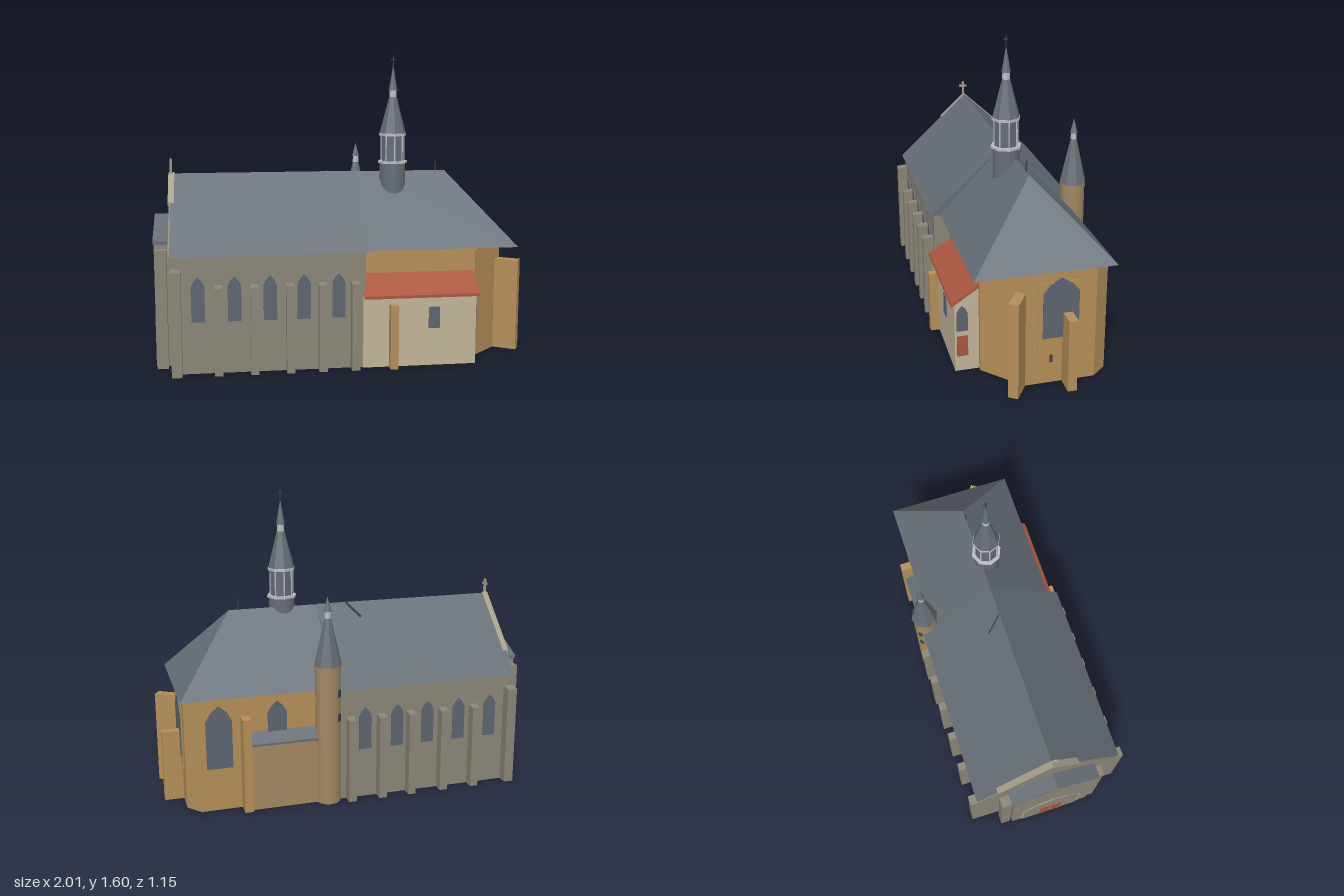
import * as THREE from 'three';
import { ConvexGeometry } from 'three/addons/geometries/ConvexGeometry.js';

const mat = (name, color, flat = true) => {
  const m = new THREE.MeshStandardMaterial({ color, flatShading: flat });
  m.name = name;
  return m;
};

export function createModel() {
  const slate = mat('slate', 0x656d75);
  const stone = mat('grey stone', 0x8a8576);
  const ochre = mat('ochre stone', 0xb58f59);
  const tan = mat('tan plaster', 0xa38762);
  const cream = mat('cream plaster', 0xc2b499);
  const red = mat('red tile', 0xa9563d);
  const glass = mat('window glass', 0x5d6570);
  const white = mat('pale metal', 0xbcc0c4);
  const coping = mat('coping stone', 0xa39d88);
  const iron = mat('dark iron', 0x3c4045);

  const model = new THREE.Group();
  model.name = 'church';
  // The church axis runs along local x, turned slightly in plan
  const church = new THREE.Group();
  church.name = 'churchBody';
  church.rotation.y = -0.2007;
  model.add(church);

  const add = (name, geo, material, x = 0, y = 0, z = 0, ry = 0) => {
    const m = new THREE.Mesh(geo, material);
    m.name = name;
    m.position.set(x, y, z);
    m.rotation.y = ry;
    church.add(m);
    return m;
  };
  const block = (name, material, x0, x1, y0, y1, z0, z1) =>
    add(name, new THREE.BoxGeometry(x1 - x0, y1 - y0, z1 - z0), material,
      (x0 + x1) / 2, (y0 + y1) / 2, (z0 + z1) / 2);
  const hull = (name, material, pts) =>
    add(name, new ConvexGeometry(pts.map(p => new THREE.Vector3(...p))), material);
  // Gabled or lean-to section [y, z] swept along x
  const sweep = (name, material, x0, x1, section) =>
    hull(name, material, [x0, x1].flatMap(x => section.map(([y, z]) => [x, y, z])));
  // Thin pointed panel on a wall; ry turns its face outward
  const panel = (name, material, w, y0, y1, tip, x, z, ry, depth = 0.006) => {
    const h = y1 - y0, s = new THREE.Shape();
    s.moveTo(-w / 2, 0);
    s.lineTo(w / 2, 0);
    s.lineTo(w / 2, h - tip);
    if (tip) {
      s.lineTo(w * 0.3, h - tip * 0.42);
      s.lineTo(0, h);
      s.lineTo(-w * 0.3, h - tip * 0.42);
    }
    s.lineTo(-w / 2, h - tip);
    add(name, new THREE.ExtrudeGeometry(s, { depth, bevelEnabled: false }), material, x, y0, z, ry);
  };
  // Tapered round part between two heights
  const round = (name, material, x, z, y0, y1, r0, r1, sides = 8) =>
    add(name, new THREE.CylinderGeometry(r1, r0, y1 - y0, sides), material, x, (y0 + y1) / 2, z);
  const cross = (name, material, x, z, y0, y1, arm, t) => {
    block(name + 'Post', material, x - t, x + t, y0, y1, z - t, z + t);
    const ya = y0 + (y1 - y0) * 0.7;
    block(name + 'Arm', material, x - t, x + t, ya - t, ya + t, z - arm, z + arm);
  };
  const N = Math.PI, E = Math.PI / 2, W = -Math.PI / 2;
  const C = 0.022, EAVE = 0.605, RIDGE = 0.98;

  // Nave
  block('naveWalls', stone, -0.88, 0.11, 0, EAVE, C - 0.385, C + 0.385);
  sweep('naveRoof', slate, -0.88, 0.125, [[EAVE, C - 0.404], [EAVE, C + 0.404], [RIDGE, C]]);
  sweep('westGable', stone, -0.887, -0.879, [[EAVE, C - 0.39], [EAVE, C + 0.39], [RIDGE - 0.01, C]]);
  for (const [side, reach] of [[-1, 0.29], [1, 0.15]]) {
    const top = RIDGE + 0.006, slope = 0.375 / 0.404;
    sweep('gableCoping', coping, -0.892, -0.86, [[top, C], [top - 0.02, C],
      [top - reach * slope, C + side * reach], [top - 0.02 - reach * slope, C + side * reach]]);
  }
  cross('gableCross', coping, -0.878, C + 0.005, 0.97, 1.06, 0.022, 0.006);
  for (const side of [-1, 1]) {
    [-0.852, -0.643, -0.462, -0.28, -0.115, 0.053].forEach((x, i) => {
      const a = C + side * 0.37, b = C + side * 0.44, t = i ? 0.021 : 0.026, h = i ? 0.46 : 0.545;
      sweep('naveButtress', stone, x - t, x + t, [[0, a], [h, a], [0, b], [h - 0.008, b]]);
    });
    for (const x of [-0.743, -0.56, -0.38, -0.208, -0.03])
      panel('naveWindow', glass, 0.068, 0.27, 0.5, 0.05, x, C + side * 0.385, side > 0 ? 0 : N);
  }
  hull('roofRod', iron, [[-0.1, 0.905, -0.06], [-0.095, 0.92, -0.06], [-0.105, 0.92, -0.06],
    [-0.037, 0.975, 0.018], [-0.032, 0.986, 0.018], [-0.042, 0.986, 0.018]]);

  // West porch
  block('porchWalls', stone, -0.963, -0.87, 0, 0.65, -0.2, 0.266);
  sweep('porchGable', stone, -0.963, -0.885, [[0.65, -0.2], [0.65, 0.266], [0.75, 0.033]]);
  for (const side of [-1, 1])
    sweep('porchRoof', slate, -0.968, -0.88, [[0.768, 0.033], [0.75, 0.033],
      [0.662, 0.033 + side * 0.245], [0.645, 0.033 + side * 0.245]]);
  for (const z of [-0.232, 0.288]) block('porchButtress', stone, -0.955, -0.9, 0, 0.62, z - 0.032, z + 0.022);
  panel('portalSurround', coping, 0.35, 0.005, 0.39, 0.14, -0.963, 0.033, W, 0.003);
  panel('portalPanel', stone, 0.325, 0.005, 0.375, 0.13, -0.963, 0.033, W, 0.006);
  for (const dz of [-0.035, 0.035]) panel('portalDoor', red, 0.056, 0.01, 0.2, 0, -0.963, 0.033 + dz, W, 0.009);

  // Choir with a chamfered east end
  const plan = [[0.1, -0.31], [0.836, -0.31], [0.9, -0.234], [0.9, 0.123], [0.713, 0.298], [0.1, 0.298]];
  hull('choirWalls', ochre, plan.flatMap(([x, z]) => [[x, 0, z], [x, EAVE, z]]));
  hull('choirRoof', slate, [[0.12, EAVE, -0.33], [0.923, EAVE, -0.33], [0.923, EAVE, 0.374],
    [0.12, EAVE, 0.374], [0.12, RIDGE - 0.002, C], [0.606, RIDGE - 0.002, C]]);
  block('choirCornice', ochre, 0.11, 0.72, 0.58, EAVE, 0.29, 0.312);
  block('ridgeFinial', iron, 0.552, 0.558, 0.97, 1.035, C - 0.003, C + 0.003);
  panel('eastWindowFrame', ochre, 0.225, 0.185, 0.545, 0, 0.9, -0.055, E, 0.005);
  panel('eastWindow', glass, 0.18, 0.25, 0.565, 0.075, 0.9, -0.055, E, 0.009);
  panel('eastSlit', iron, 0.014, 0.115, 0.155, 0, 0.9, -0.01, E);
  panel('northWindow', glass, 0.135, 0.23, 0.565, 0.08, 0.733, -0.31, N);
  panel('northWindow', glass, 0.1, 0.4, 0.565, 0.06, 0.43, -0.31, N);
  block('eastButtress', ochre, 0.89, 1, 0, 0.38, -0.112, -0.066);
  block('northButtress', ochre, 0.578, 0.622, 0, 0.5, -0.385, -0.3);
  add('cornerButtress', new THREE.BoxGeometry(0.13, 0.5, 0.05), ochre, 0.932, 0.25, 0.168, -0.56);

  // South sacristy with a tiled lean-to roof
  block('sacristyWalls', cream, 0.095, 0.69, 0, 0.372, 0.25, 0.42);
  sweep('sacristyEnd', cream, 0.1, 0.688, [[0.37, 0.29], [0.37, 0.42], [0.455, 0.3]]);
  sweep('sacristyRoof', red, 0.1, 0.702, [[0.365, 0.437], [0.38, 0.437], [0.472, 0.297], [0.457, 0.297]]);
  panel('sacristyWindow', glass, 0.058, 0.2, 0.312, 0, 0.467, 0.42, 0);
  panel('sacristyEndWindow', glass, 0.055, 0.225, 0.362, 0.04, 0.69, 0.382, E);
  panel('sacristyDoor', red, 0.055, 0.085, 0.195, 0, 0.69, 0.382, E);
  block('sacristyButtress', ochre, 0.23, 0.272, 0, 0.335, 0.41, 0.468);

  // North lean-to
  block('northLeanTo', tan, 0.15, 0.575, 0, 0.36, -0.365, -0.3);
  sweep('northLeanToRoof', slate, 0.15, 0.582, [[0.35, -0.374], [0.362, -0.374], [0.412, -0.305], [0.35, -0.305]]);

  // Stair turret
  const tx = 0.17, tz = -0.35;
  round('turretWall', mat('tan plaster', 0xa38762, false), tx, tz, 0, 0.74, 0.065, 0.065, 20).material = tan;
  round('turretCornice', tan, tx, tz, 0.725, 0.745, 0.069, 0.069, 20);
  round('turretRoof', slate, tx, tz, 0.745, 0.99, 0.074, 0.017);
  round('turretCollar', white, tx, tz, 0.99, 1.03, 0.017, 0.016);
  round('turretTip', slate, tx, tz, 1.025, 1.1, 0.021, 0.001);
  for (const y of [0.45, 0.58])
    panel('turretSlit', iron, 0.022, y, y + 0.04, 0, tx - 0.045, tz - 0.045, -N * 0.75);

  // Ridge spire
  const sx = 0.309, sz = 0.06;
  round('spireBase', slate, sx, sz, 0.86, 1.03, 0.07, 0.07, 16);
  round('spireLowerRing', white, sx, sz, 1.025, 1.038, 0.08, 0.08);
  round('spireLantern', slate, sx, sz, 1.035, 1.18, 0.062, 0.062);
  round('spireUpperRing', white, sx, sz, 1.173, 1.187, 0.074, 0.074);
  for (let i = 0; i < 8; i++) {
    const a = i * Math.PI / 4;
    round('lanternPost', white, sx + 0.062 * Math.sin(a), sz + 0.062 * Math.cos(a), 1.035, 1.18, 0.004, 0.004, 6);
  }
  round('spireRoof', slate, sx, sz, 1.185, 1.38, 0.072, 0.021);
  round('spireCollar', white, sx, sz, 1.38, 1.42, 0.02, 0.019);
  round('spireTip', slate, sx, sz, 1.415, 1.54, 0.024, 0.002);
  cross('spireCross', iron, sx, sz, 1.53, 1.6, 0.012, 0.0025);
  block('spireCrossBar', iron, sx - 0.012, sx + 0.012, 1.577, 1.582, sz - 0.0025, sz + 0.0025);

  return model;
}
